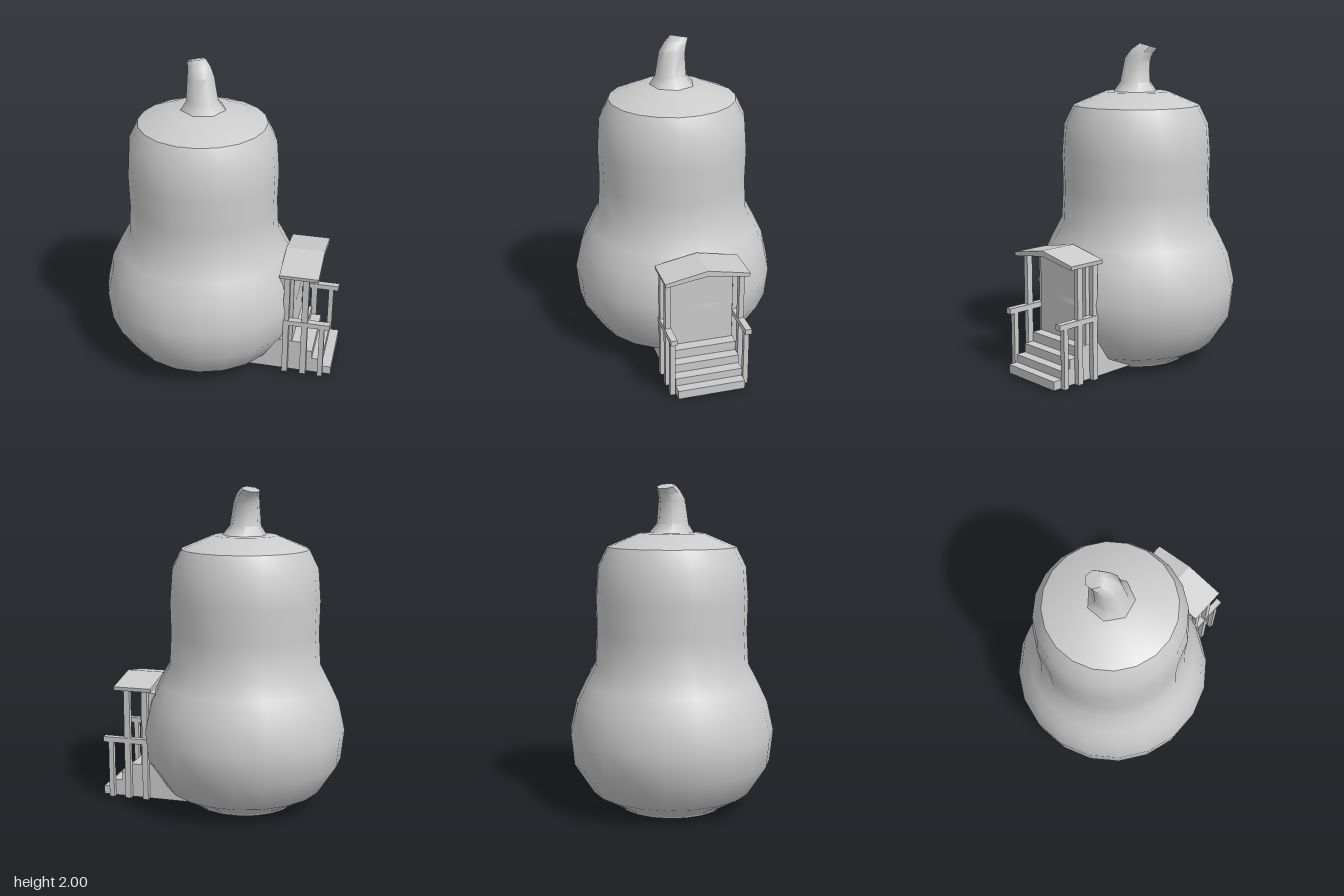
import * as THREE from 'three';
import { toCreasedNormals } from 'three/addons/utils/BufferGeometryUtils.js';

const grey = new THREE.MeshStandardMaterial({ color: 0xcccccc });
const CX = -0.13; // axis of the gourd

function add(parent, name, geometry) {
  const mesh = new THREE.Mesh(geometry, grey);
  mesh.name = name;
  parent.add(mesh);
  return mesh;
}

// Box given by its limits on each axis
function box(parent, name, x0, x1, y0, y1, z0, z1) {
  const mesh = add(parent, name, new THREE.BoxGeometry(x1 - x0, y1 - y0, z1 - z0));
  mesh.position.set((x0 + x1) / 2, (y0 + y1) / 2, (z0 + z1) / 2);
}

function polygon(points) {
  return new THREE.Shape(points.map(([x, y]) => new THREE.Vector2(x, y)));
}

// Tilted rings joined into a tapering, capped stem
function stemGeometry(rings, sides) {
  const positions = [], index = [];
  for (const [x, y, z, r, tiltX, tiltZ] of rings) {
    for (let i = 0; i < sides; i++) {
      const a = (i / sides) * Math.PI * 2;
      const dx = Math.cos(a) * r, dz = Math.sin(a) * r;
      positions.push(x + dx, y + dx * tiltX + dz * tiltZ, z + dz);
    }
  }
  for (let k = 0; k < rings.length - 1; k++) {
    for (let i = 0; i < sides; i++) {
      const j = (i + 1) % sides;
      const a = k * sides + i, b = k * sides + j;
      index.push(a, a + sides, b, b, a + sides, b + sides);
    }
  }
  const top = (rings.length - 1) * sides;
  for (let i = 1; i < sides - 1; i++) index.push(top, top + i + 1, top + i);
  const g = new THREE.BufferGeometry();
  g.setAttribute('position', new THREE.Float32BufferAttribute(positions, 3));
  g.setIndex(index);
  return toCreasedNormals(g, 0.95);
}

export function createModel() {
  const model = new THREE.Group();
  model.name = 'gourdHouse';

  // Gourd body, twenty sides
  const profile = [
    [0, 0], [0.325, 0], [0.33, 0.012], [0.497, 0.105], [0.617, 0.29], [0.637, 0.48], [0.597, 0.66],
    [0.54, 0.78], [0.477, 0.9], [0.466, 1.1], [0.471, 1.3], [0.456, 1.5], [0.397, 1.62], [0.2, 1.703], [0, 1.706],
  ].map(([r, y]) => new THREE.Vector2(r, y));
  const bodyGeometry = new THREE.LatheGeometry(profile, 20, Math.PI / 20);
  const body = add(model, 'gourdBody', toCreasedNormals(bodyGeometry, 0.7));
  body.position.x = CX;

  // Bent stem: x, y, z, radius, slope along x, slope along z
  add(model, 'stem', stemGeometry([
    [-0.125, 1.7, 0, 0.143, 0, 0],
    [-0.13, 1.76, 0.005, 0.1, 0, 0],
    [-0.14, 1.9, -0.005, 0.083, 0.1, 0.1],
    [-0.155, 1.95, -0.03, 0.07, 0.15, 0.15],
    [-0.18, 1.985, -0.062, 0.057, 0.2, 0.2],
  ], 7));

  const porch = new THREE.Group();
  porch.name = 'porch';
  model.add(porch);

  // Platform and steps, one stepped side profile
  const stairs = add(porch, 'steps', new THREE.ExtrudeGeometry(polygon([
    [0.05, 0.015], [0.755, 0.015], [0.755, 0.07], [0.695, 0.07], [0.695, 0.12],
    [0.63, 0.12], [0.63, 0.175], [0.565, 0.175], [0.565, 0.235], [0.05, 0.235],
  ]), { depth: 0.42, bevelEnabled: false }));
  stairs.position.z = -0.21;

  // Door block set into the body
  box(porch, 'door', 0.3, 0.497, 0.2, 0.71, -0.207, 0.207);

  // Posts and hand rails on both sides
  for (const side of [-1, 1]) {
    const [z0, z1] = side > 0 ? [0.215, 0.247] : [-0.247, -0.215];
    box(porch, 'backPost', 0.44, 0.476, 0.015, 0.745, z0, z1);
    box(porch, 'frontPost', 0.557, 0.596, 0.015, 0.745, z0, z1);
    box(porch, 'railPost', 0.672, 0.704, 0.015, 0.385, z0, z1);
    box(porch, 'handRail', 0.44, 0.737, 0.382, 0.416, z0 - 0.004, z1 + 0.004);
  }

  // Gabled roof, ridge running along x
  const roof = add(porch, 'roof', new THREE.ExtrudeGeometry(polygon([
    [-0.258, 0.728], [0, 0.768], [0.258, 0.728], [0.262, 0.752], [0, 0.803], [-0.262, 0.752],
  ]), { depth: 0.245, bevelEnabled: false }));
  roof.rotation.y = Math.PI / 2;
  roof.position.x = 0.41;

  return model;
}
